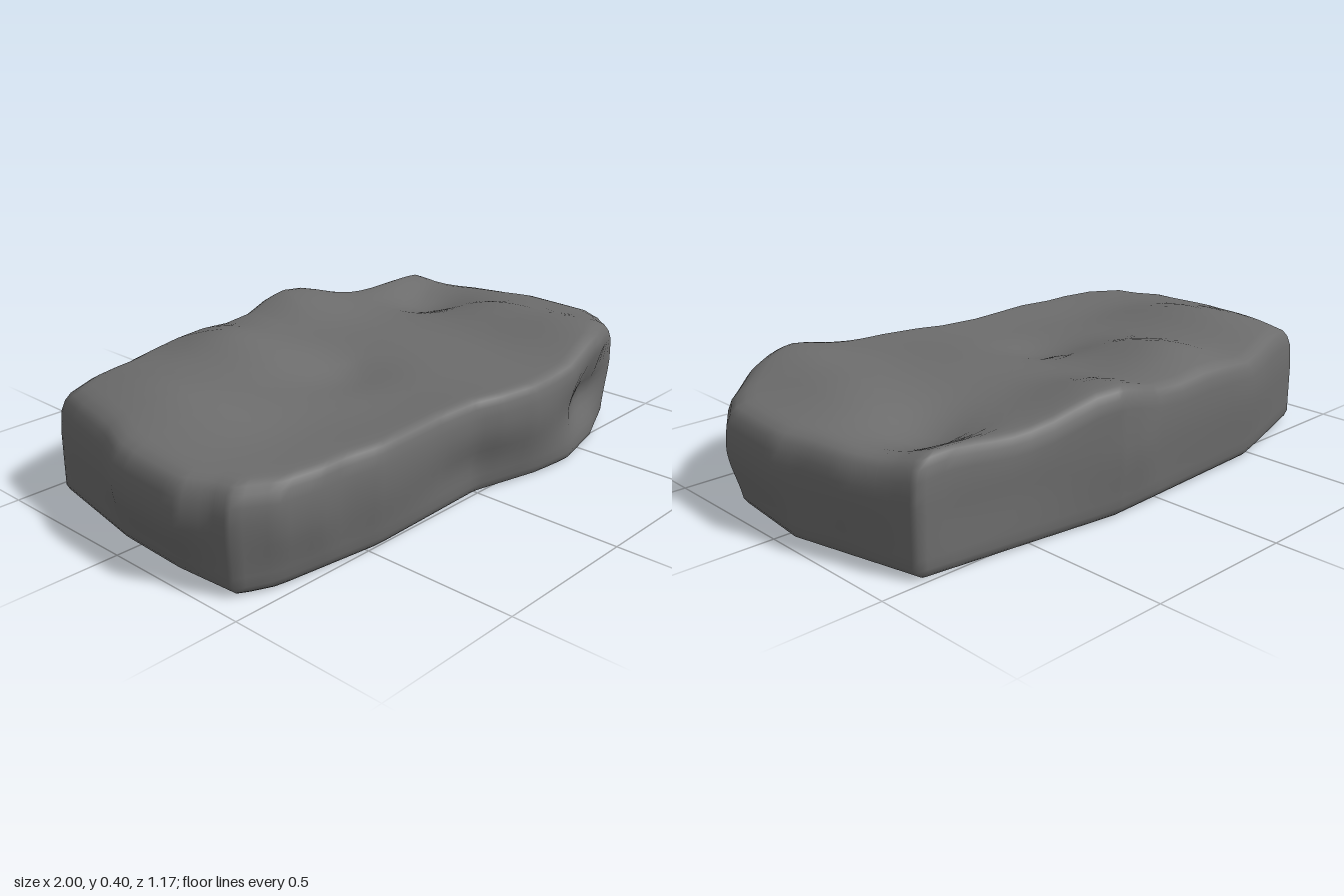
import * as THREE from 'three';

// Plan outlines as x, z pairs, starting at the back left corner: the wall's widest line and the plainer foot
const WALL = [
  -0.87, -0.43, -0.48, -0.56, 0, -0.575, 0.1, -0.59, 0.2, -0.59, 0.5, -0.53, 0.75, -0.495, 0.87, -0.49,
  0.895, -0.4, 0.945, -0.25, 0.97, -0.1, 0.998, 0, 0.99, 0.13, 0.98, 0.26, 0.915, 0.36, 0.8, 0.46, 0.62, 0.54,
  0.41, 0.58, 0.2, 0.58, 0.06, 0.555, -0.04, 0.525, -0.2, 0.515, -0.47, 0.53, -0.6, 0.51, -0.7, 0.51,
  -0.83, 0.49, -0.94, 0.42, -0.955, 0.35, -1, 0.26, -0.99, 0.05, -0.98, -0.03, -0.94, -0.13, -0.9, -0.32,
];
const FOOT = [
  -0.87, -0.43, -0.48, -0.55, 0, -0.57, 0.2, -0.578, 0.87, -0.49, 0.97, -0.05, 0.94, 0.25, 0.8, 0.435,
  0.6, 0.53, 0.4, 0.575, 0.25, 0.56, 0, 0.5, -0.47, 0.51, -0.83, 0.465, -0.93, 0.42, -0.945, 0.2, -0.935, -0.05,
];

// Lumps and hollows of the upper face: x, z, width x, width z, height
const LUMPS = [
  [-0.69, -0.17, 0.13, 0.22, 0.057],
  [-0.25, -0.37, 0.13, 0.13, 0.066],
  [-0.24, -0.15, 0.14, 0.1, 0.02],
  [0.2, -0.52, 0.14, 0.16, 0.075],
  [0.61, 0.42, 0.14, 0.2, 0.064],
  [0.66, 0.08, 0.11, 0.13, 0.03],
  [0.2, 0.02, 0.15, 0.2, 0.015],
  [-0.13, 0.05, 0.11, 0.11, -0.035],
  [0.66, -0.26, 0.11, 0.1, -0.05],
  [0.73, -0.47, 0.12, 0.06, 0.025],
  [-0.55, 0.25, 0.2, 0.12, -0.015],
  [-0.2, 0.33, 0.15, 0.1, -0.012],
];

const bell = (a, b) => Math.exp(-(a * a + b * b) / 2);

function topHeight(x, z) {
  return LUMPS.reduce((y, [cx, cz, wx, wz, h]) => y + h * bell((x - cx) / wx, (z - cz) / wz), 0.325);
}

// Hollows worn into the front wall
function frontDent(x, y) {
  return 0.068 * bell((x - 0.56) / 0.12, (y - 0.165) / 0.065)
    + 0.015 * bell((x + 0.03) / 0.14, (y - 0.12) / 0.05);
}

// Distance from the centre to an outline in the direction dx, dz
function reach(outline, dx, dz) {
  const n = outline.length;
  for (let i = 0; i < n; i += 2) {
    const ax = outline[i], az = outline[i + 1];
    const ex = outline[(i + 2) % n] - ax, ez = outline[(i + 3) % n] - az;
    const det = dx * ez - dz * ex;
    const t = (ax * ez - az * ex) / det;
    const u = (ax * dz - az * dx) / det;
    if (t > 0 && u >= -1e-9 && u <= 1 + 1e-9) return t;
  }
  return 0;
}

// Rings from under the slab, up the wall and in over the top: scale, height, whether measured from the top
const RINGS = [
  [0.5, 0], [0.955, 0], [0.975, 0.003], [0.99, 0.012], [1, 0.03], [1, 0.06], [1, 0.09], [1, 0.12], [1, 0.15],
  [1, 0.18], [1, 0.21], [0.998, 0.235], [0.993, -0.06, true], [0.98, -0.03, true], [0.96, -0.011, true],
  [0.93, -0.002, true], [0.9, 0, true],
  ...[0.84, 0.77, 0.7, 0.62, 0.54, 0.46, 0.38, 0.3, 0.22, 0.14, 0.06].map((s) => [s, 0, true]),
];

function slabGeometry() {
  // Directions through every wall corner, with each span divided further
  const spokes = [];
  for (let i = 0; i < WALL.length; i += 2) {
    for (let k = 0; k < 4; k++) {
      const x = THREE.MathUtils.lerp(WALL[i], WALL[(i + 2) % WALL.length], k / 4);
      const z = THREE.MathUtils.lerp(WALL[i + 1], WALL[(i + 3) % WALL.length], k / 4);
      spokes.push({ x, z, foot: reach(FOOT, x, z) });
    }
  }
  const segments = spokes.length;

  const positions = [];
  const index = [];
  for (const [scale, level, fromTop] of RINGS) {
    // The foot's outline swells into the wall's
    const swell = fromTop ? 1 : THREE.MathUtils.smoothstep(level, 0, 0.2);
    for (const p of spokes) {
      const s = scale * THREE.MathUtils.lerp(p.foot, 1, swell);
      const x = p.x * s;
      let z = p.z * s;
      const y = fromTop ? topHeight(x, z) + level : level;
      if (p.z > 0.3 && scale > 0.9) z -= frontDent(x, y);
      positions.push(x, y, z);
    }
  }
  for (let r = 0; r < RINGS.length - 1; r++) {
    for (let i = 0; i < segments; i++) {
      const j = (i + 1) % segments;
      const a = r * segments + i, b = r * segments + j;
      const c = a + segments, d = b + segments;
      index.push(a, c, b, b, c, d);
    }
  }
  // Close the underside and the top at their centres
  const bottom = positions.length / 3;
  positions.push(0, 0, 0, 0, topHeight(0, 0), 0);
  const last = (RINGS.length - 1) * segments;
  for (let i = 0; i < segments; i++) {
    const j = (i + 1) % segments;
    index.push(bottom, i, j, bottom + 1, last + j, last + i);
  }

  const geometry = new THREE.BufferGeometry();
  geometry.setAttribute('position', new THREE.Float32BufferAttribute(positions, 3));
  geometry.setIndex(index);
  geometry.computeVertexNormals();
  return geometry;
}

export function createModel() {
  const stone = new THREE.MeshStandardMaterial({ color: 0x6c6c6c });
  stone.name = 'grey stone';
  const slab = new THREE.Mesh(slabGeometry(), stone);
  slab.name = 'rockSlab';
  const group = new THREE.Group();
  group.name = 'rock';
  group.add(slab);
  return group;
}
